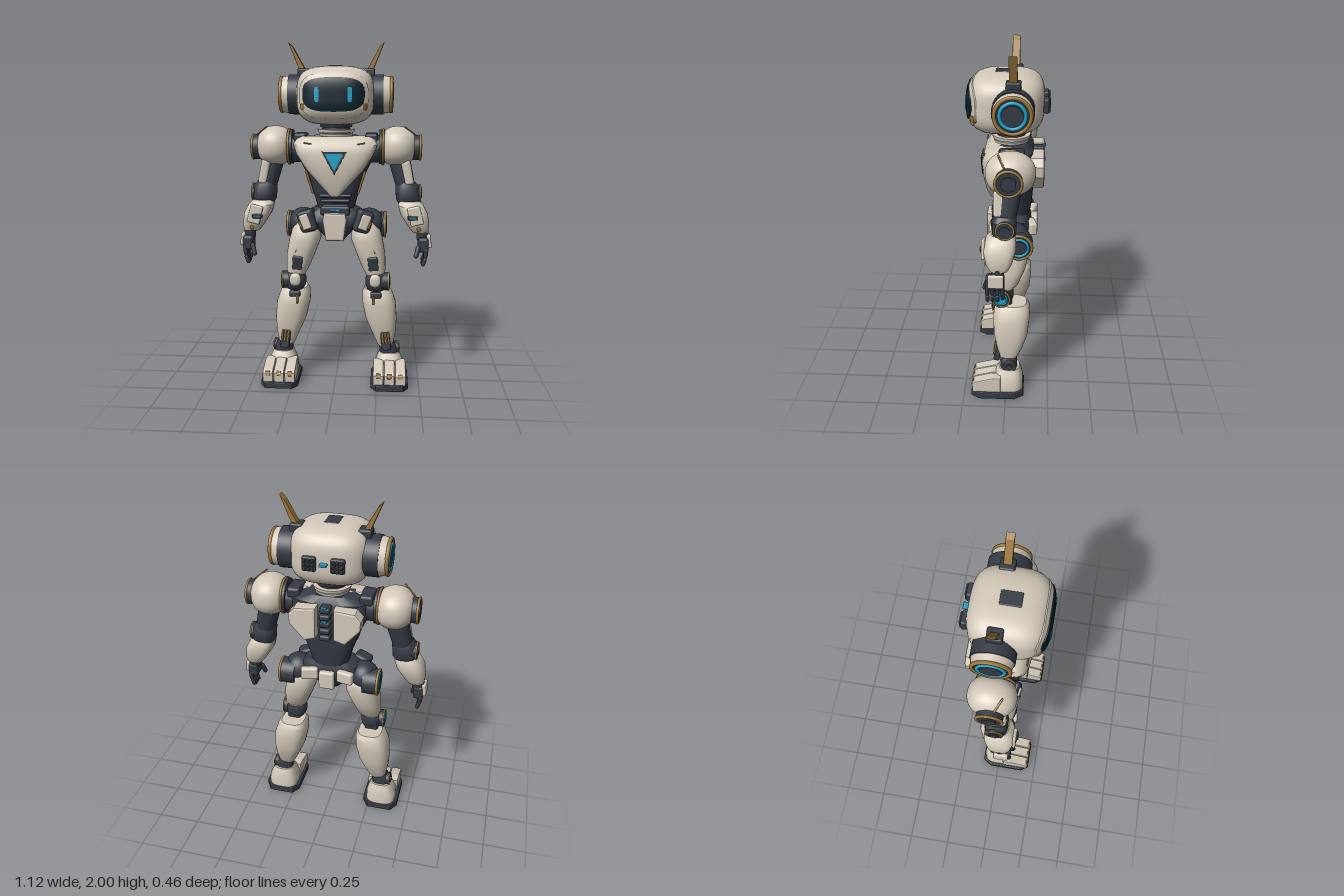
import * as THREE from 'three';
import { mergeVertices, toCreasedNormals } from 'three/addons/utils/BufferGeometryUtils.js';
import { RoundedBoxGeometry } from 'three/addons/geometries/RoundedBoxGeometry.js';

const paint = (name, color) => Object.assign(new THREE.MeshStandardMaterial({ color }), { name });
const cream = paint('cream shell', 0xd3c9b9), dark = paint('dark frame', 0x353b45);
const gold = paint('gold trim', 0x9c7638), blue = paint('blue light', 0x1fa3c8);
const glass = paint('visor glass', 0x0d222c);

// Adds a mesh with its placement baked in, so that sides can be mirrored
function add(parent, name, geo, mat, pos = [0, 0, 0], rot = [0, 0, 0]) {
  const q = new THREE.Quaternion().setFromEuler(new THREE.Euler(...rot));
  geo.applyMatrix4(new THREE.Matrix4().compose(new THREE.Vector3(...pos), q, new THREE.Vector3(1, 1, 1)));
  const mesh = new THREE.Mesh(geo, mat);
  mesh.name = name;
  parent.add(mesh);
  return mesh;
}
function mirrored(group, name) {
  const out = new THREE.Group();
  out.name = name;
  for (const m of group.children) {
    const g = m.geometry.index ? m.geometry.toNonIndexed() : m.geometry.clone();
    g.applyMatrix4(new THREE.Matrix4().makeScale(-1, 1, 1));
    g.setIndex([...Array(g.attributes.position.count).keys()].map(i => i % 3 === 0 ? i : i % 3 === 1 ? i + 1 : i - 1));
    add(out, m.name, g, m.material);
  }
  return out;
}
const box = (w, h, d, r = 0.01) => new RoundedBoxGeometry(w, h, d, 2, Math.min(r, w / 2.1, h / 2.1, d / 2.1));
const spow = (v, p) => Math.sign(v) * Math.abs(v) ** p;

// Vertical loft through super-ellipse sections [y, cx, cz, halfX, halfZ]
function loft(sections, n = 2.6, seg = 32) {
  const p = [], idx = [], last = sections.length - 1;
  for (const [y, cx, cz, hx, hz] of sections)
    for (let j = 0; j < seg; j++) {
      const a = j / seg * Math.PI * 2;
      p.push(cx + hx * spow(Math.cos(a), 2 / n), y, cz + hz * spow(Math.sin(a), 2 / n));
    }
  for (const s of [sections[0], sections[last]]) p.push(s[1], s[0], s[2]);
  const c = (last + 1) * seg;
  for (let j = 0; j < seg; j++) {
    const k = (j + 1) % seg;
    for (let i = 0; i < last; i++) {
      const a = i * seg + j, b = i * seg + k;
      idx.push(a, a + seg, b, b, a + seg, b + seg);
    }
    idx.push(c, j, k, c + 1, last * seg + k, last * seg + j);
  }
  const g = new THREE.BufferGeometry();
  g.setAttribute('position', new THREE.Float32BufferAttribute(p, 3));
  g.setIndex(idx);
  return toCreasedNormals(g, 0.6);
}
// Sphere pushed out to a rounded block
function superEllipsoid(hx, hy, hz, n) {
  let g = new THREE.SphereGeometry(1, 48, 32);
  g.deleteAttribute('normal'); g.deleteAttribute('uv');
  g = mergeVertices(g, 1e-4);
  const p = g.attributes.position, v = new THREE.Vector3();
  for (let i = 0; i < p.count; i++) {
    v.fromBufferAttribute(p, i);
    v.multiplyScalar((Math.abs(v.x) ** n + Math.abs(v.y) ** n + Math.abs(v.z) ** n) ** (-1 / n));
    p.setXYZ(i, v.x * hx, v.y * hy, v.z * hz);
  }
  g.computeVertexNormals();
  return g;
}
// Oval plate that follows the front of the head
const HEAD = { y: 1.704, z: 0.01, hx: 0.218, hy: 0.163, hz: 0.207, n: 3.3 };
function facePlate(cx, cy, hx, hy, off, n = 3) {
  const p = [], idx = [], R = 8, S = 48;
  for (let k = 0; k <= R + 1; k++)
    for (let j = 0; j < S; j++) {
      const a = j / S * Math.PI * 2, t = Math.min(k / R, 1);
      const x = cx + hx * t * spow(Math.cos(a), 2 / n), y = cy + hy * t * spow(Math.sin(a), 2 / n);
      const f = 1 - Math.abs(x / HEAD.hx) ** HEAD.n - Math.abs((y - HEAD.y) / HEAD.hy) ** HEAD.n;
      p.push(x, y, HEAD.z + HEAD.hz * Math.max(f, 0) ** (1 / HEAD.n) + (k > R ? -0.01 : off));
      if (k <= R) {
        const q = k * S + j, r = k * S + (j + 1) % S;
        if (k > 0) idx.push(q, r + S, r);
        idx.push(q, q + S, r + S);
      }
    }
  const g = new THREE.BufferGeometry();
  g.setAttribute('position', new THREE.Float32BufferAttribute(p, 3));
  g.setIndex(idx);
  return toCreasedNormals(g, 0.6);
}
const toShape = pts => new THREE.Shape(pts.map(q => new THREE.Vector2(...q)));
const slab = (pts, depth, bevel = 0.006) => new THREE.ExtrudeGeometry(toShape(pts),
  { depth, bevelEnabled: bevel > 0, bevelSize: bevel, bevelThickness: bevel, bevelOffset: -bevel, bevelSegments: 2 });
const rodX = (r, len, r2 = r) => new THREE.CylinderGeometry(r2, r, len, 32).rotateZ(-Math.PI / 2);
const ringX = (r, t) => new THREE.TorusGeometry(r, t, 8, 36).rotateY(Math.PI / 2);

// Round joint cover facing outwards: frame, gold rim, optional light ring, hub
function jointCover(g, name, x, y, z, r, depth, lit) {
  add(g, name + 'Drum', rodX(r, depth), dark, [x - depth / 2, y, z]);
  add(g, name + 'Rim', ringX(r * 0.95, r * 0.11), gold, [x - 0.004, y, z]);
  if (lit) add(g, name + 'Light', ringX(r * 0.68, r * 0.1), blue, [x, y, z]);
  add(g, name + 'Hub', rodX(r * 0.55, 0.012), lit === 'hub' ? blue : dark, [x, y, z]);
}

function buildHead(g) {
  add(g, 'headShell', superEllipsoid(HEAD.hx, HEAD.hy, HEAD.hz, HEAD.n), cream, [0, HEAD.y, HEAD.z]);
  add(g, 'faceFrame', facePlate(0, 1.705, 0.19, 0.125, 0.006), cream);
  add(g, 'visor', facePlate(0, 1.712, 0.17, 0.092, 0.012), glass);
  for (const s of [-1, 1]) {
    add(g, 'eye', facePlate(s * 0.09, 1.712, 0.012, 0.04, 0.016, 5), blue);
    add(g, 'cheekTrim', facePlate(s * 0.172, 1.645, 0.012, 0.018, 0.012), gold);
    add(g, 'rearVent', box(0.075, 0.08, 0.03), dark, [s * 0.077, 1.7, -0.205]);
    for (let i = 0; i < 9; i++)
      add(g, 'ventButton', box(0.017, 0.018, 0.012, 0.004), dark, [s * 0.077 + (i % 3 - 1) * 0.022, 1.7 + (Math.floor(i / 3) - 1) * 0.024, -0.222]);
  }
  add(g, 'rearLight', box(0.04, 0.014, 0.035, 0.004), blue, [0, 1.7, -0.21]);
  add(g, 'crownPanel', box(0.08, 0.014, 0.11, 0.006), dark, [0, 1.863, 0.015]);
  // Neck and collars
  add(g, 'neck', new THREE.CylinderGeometry(0.075, 0.09, 0.14, 32), dark, [0, 1.5, -0.015]);
  add(g, 'upperCollar', new THREE.CylinderGeometry(0.1, 0.09, 0.03, 32), dark, [0, 1.54, -0.015]);
  for (const [y, r] of [[1.505, 0.108], [1.48, 0.098]])
    add(g, 'neckRing', new THREE.CylinderGeometry(r, r - 0.004, 0.018, 40), cream, [0, y, -0.015]);
}

function buildTorso(g) {
  add(g, 'torsoFrame', loft([[1.03, 0, -0.035, 0.1, 0.085], [1.12, 0, -0.035, 0.125, 0.1], [1.25, 0, -0.03, 0.17, 0.115],
    [1.37, 0, -0.03, 0.225, 0.12], [1.44, 0, -0.03, 0.225, 0.11], [1.475, 0, -0.025, 0.13, 0.085]], 3), dark);
  add(g, 'chestPlate', loft([[1.135, 0, 0.08, 0.025, 0.025], [1.19, 0, 0.075, 0.075, 0.05], [1.29, 0, 0.068, 0.165, 0.072],
    [1.38, 0, 0.06, 0.222, 0.085], [1.43, 0, 0.05, 0.24, 0.082], [1.46, 0, 0.04, 0.225, 0.07], [1.475, 0, 0.03, 0.19, 0.055]], 3.5), cream);
  const tri = r => [[0, 1.35 - r * 1.2], [r, 1.35 + r * 0.65], [-r, 1.35 + r * 0.65]];
  add(g, 'emblemFrame', slab(tri(0.07), 0.03, 0.003), dark, [0, 0, 0.119]);
  add(g, 'emblemLight', slab(tri(0.052), 0.008, 0), blue, [0, 0, 0.147]);
  for (const s of [-1, 1]) {
    add(g, 'collarTrim', box(0.045, 0.008, 0.008, 0.003), gold, [s * 0.15, 1.44, 0.128], [0, 0, s * 0.15]);
    add(g, 'flankTrim', box(0.014, 0.14, 0.014, 0.005), gold, [s * 0.15, 1.21, 0.045], [0, 0, -s * 0.3]);
    const back = [[0.05, 1.44], [0.17, 1.43], [0.205, 1.39], [0.2, 1.33], [0.115, 1.235], [0.05, 1.255]];
    add(g, 'backPlate', slab(s > 0 ? back : back.map(([x, y]) => [-x, y]).reverse(), 0.06, 0.012), cream, [0, 0, -0.19]);
  }
  for (let i = 0; i < 5; i++) add(g, 'spineBlock', box(0.06, 0.032, 0.07), dark, [0, 1.26 + i * 0.042, -0.165]);
  for (const y of [1.365, 1.45]) add(g, 'spineLight', box(0.034, 0.014, 0.012, 0.004), blue, [0, y, -0.202]);
  // Waist ribs
  for (let i = 0; i < 3; i++) add(g, 'waistRib', box(0.15 + i * 0.02, 0.02, 0.12), dark, [0, 1.075 + i * 0.03, 0.02]);
  // Pelvis and skirt plates
  add(g, 'pelvis', loft([[0.865, 0, -0.015, 0.05, 0.05], [0.92, 0, -0.02, 0.1, 0.09], [0.98, 0, -0.025, 0.18, 0.11],
    [1.03, 0, -0.025, 0.17, 0.1], [1.06, 0, -0.03, 0.12, 0.085]], 3), dark);
  const apron = [[-0.052, 0.88], [0.052, 0.88], [0.07, 1], [0.062, 1.04], [-0.062, 1.04], [-0.07, 1]];
  add(g, 'beltBuckle', box(0.17, 0.055, 0.07, 0.014), dark, [0, 1.05, 0.06]);
  add(g, 'frontApron', slab(apron, 0.035, 0.01), cream, [0, 0, 0.08]);
  add(g, 'beltLight', box(0.06, 0.014, 0.012, 0.004), blue, [0, 1.056, 0.094]);
  add(g, 'rearApron', box(0.09, 0.11, 0.04, 0.012), cream, [0, 0.965, -0.15]);
  for (const s of [-1, 1]) add(g, 'rearSkirt', box(0.1, 0.075, 0.045, 0.014), cream, [s * 0.105, 0.99, -0.138], [0, s * 0.25, 0]);
}

function buildSide() {
  const g = new THREE.Group();
  g.name = 'leftSide';
  // Ear pod and antenna
  const ey = 1.708, ez = -0.033;
  add(g, 'earMount', rodX(0.113, 0.08), dark, [0.23, ey, ez]);
  add(g, 'earShell', rodX(0.108, 0.042, 0.1), cream, [0.289, ey, ez]);
  jointCover(g, 'ear', 0.318, ey, ez, 0.1, 0.03, true);
  add(g, 'antennaBase', box(0.07, 0.085, 0.08), dark, [0.185, 1.812, ez]);
  add(g, 'antenna', slab([[0.166, 1.83], [0.205, 1.83], [0.273, 2.0], [0.247, 1.975]], 0.036, 0.004), gold, [0, 0, -0.051]);
  // Shoulder
  add(g, 'shoulderMount', rodX(0.08, 0.12), dark, [0.24, 1.4, -0.02]);
  add(g, 'shoulderYoke', box(0.075, 0.06, 0.14, 0.015), dark, [0.205, 1.46, -0.025]);
  add(g, 'shoulderCollar', rodX(0.1, 0.03), dark, [0.265, 1.41, -0.02]);
  add(g, 'shoulderTrim', ringX(0.1, 0.007), gold, [0.272, 1.41, -0.02]);
  add(g, 'shoulderShell', superEllipsoid(0.11, 0.115, 0.132, 2.2), cream, [0.355, 1.415, -0.025]);
  jointCover(g, 'shoulder', 0.488, 1.408, -0.02, 0.072, 0.09, false);
  add(g, 'shoulderStripe', box(0.09, 0.006, 0.01, 0.002), gold, [0.425, 1.505, 0.02], [0, 0.5, -0.6]);
  // Upper arm and elbow
  add(g, 'upperArm', loft([[1.13, 0.415, 0, 0.05, 0.05], [1.22, 0.395, -0.005, 0.058, 0.06], [1.36, 0.36, -0.02, 0.065, 0.07]]), dark);
  add(g, 'upperArmPlate', box(0.055, 0.15, 0.085, 0.02), cream, [0.412, 1.27, 0.02], [0, 0, 0.2]);
  add(g, 'elbow', loft([[1.085, 0.42, 0.005, 0.055, 0.05], [1.11, 0.42, 0.005, 0.07, 0.065], [1.18, 0.415, 0.005, 0.07, 0.065],
    [1.21, 0.41, 0.005, 0.05, 0.05]]), dark);
  jointCover(g, 'elbow', 0.492, 1.145, 0, 0.05, 0.03, false);
  // Forearm
  add(g, 'forearm', loft([[0.925, 0.492, 0.03, 0.045, 0.05], [0.96, 0.482, 0.03, 0.062, 0.07], [1.03, 0.455, 0.028, 0.08, 0.088],
    [1.08, 0.435, 0.022, 0.074, 0.08], [1.105, 0.425, 0.015, 0.055, 0.06]], 3), cream);
  add(g, 'forearmPlate', box(0.075, 0.11, 0.02), cream, [0.46, 1.03, 0.113], [0, 0, 0.25]);
  add(g, 'forearmSlot', box(0.06, 0.024, 0.014, 0.005), dark, [0.445, 1.02, 0.122]);
  add(g, 'forearmLight', box(0.042, 0.012, 0.014, 0.004), blue, [0.445, 1.02, 0.127]);
  add(g, 'forearmTrim', box(0.022, 0.022, 0.014, 0.005), gold, [0.482, 0.95, 0.1], [0, 0, 0.5]);
  // Hand
  add(g, 'wrist', new THREE.CylinderGeometry(0.036, 0.032, 0.06, 24), dark, [0.505, 0.91, 0.035]);
  add(g, 'palm', box(0.06, 0.085, 0.1, 0.016), dark, [0.51, 0.855, 0.05]);
  add(g, 'handPlate', box(0.024, 0.075, 0.085), cream, [0.543, 0.875, 0.045], [0, 0, 0.1]);
  for (let i = 0; i < 4; i++) {
    const z = 0.01 + i * 0.027, tip = i === 0 ? 0.012 : 0;
    add(g, 'fingerBase', new THREE.CapsuleGeometry(0.0125, 0.035, 4, 10), dark, [0.525, 0.81, z], [0, 0, -0.1]);
    add(g, 'fingerTip', new THREE.CapsuleGeometry(0.0115, 0.03, 4, 10), dark, [0.515, 0.757 + tip, z], [0, 0, -0.35]);
  }
  add(g, 'thumb', new THREE.CapsuleGeometry(0.014, 0.05, 4, 10), dark, [0.475, 0.82, 0.1], [-0.3, 0, -0.25]);
  // Hip
  add(g, 'hipBall', new THREE.SphereGeometry(0.088, 28, 20), dark, [0.195, 0.96, -0.04]);
  jointCover(g, 'hip', 0.292, 0.945, -0.07, 0.075, 0.09, true);
  add(g, 'hipPod', box(0.1, 0.13, 0.09, 0.02), dark, [0.16, 0.985, 0.05], [0, 0.2, -0.3]);
  add(g, 'hipPlate', box(0.055, 0.09, 0.02), cream, [0.172, 0.985, 0.095], [0, 0.2, -0.35]);
  add(g, 'hipTrim', box(0.014, 0.045, 0.012, 0.004), gold, [0.2, 0.97, 0.098], [0, 0.2, -0.5]);
  // Thigh
  add(g, 'thigh', loft([[0.645, 0.237, 0.02, 0.045, 0.045], [0.69, 0.228, 0.005, 0.066, 0.072], [0.78, 0.208, -0.01, 0.084, 0.096],
    [0.87, 0.183, -0.015, 0.093, 0.112], [0.93, 0.175, -0.02, 0.084, 0.105], [0.975, 0.175, -0.02, 0.06, 0.075]]), cream);
  add(g, 'thighInset', box(0.06, 0.09, 0.022, 0.012), dark, [0.222, 0.735, 0.074], [0.15, 0, 0.1]);
  add(g, 'thighTrim', box(0.012, 0.045, 0.01, 0.004), gold, [0.222, 0.82, 0.084], [0.1, 0, 0.4]);
  // Knee
  add(g, 'knee', superEllipsoid(0.064, 0.066, 0.064, 2.3), dark, [0.24, 0.62, 0.025]);
  add(g, 'kneeCap', superEllipsoid(0.032, 0.038, 0.02, 2.5), cream, [0.235, 0.635, 0.08]);
  jointCover(g, 'knee', 0.318, 0.622, 0.03, 0.052, 0.06, 'hub');
  add(g, 'kneeLink', box(0.08, 0.08, 0.08, 0.015), dark, [0.245, 0.565, 0.01]);
  // Shin
  add(g, 'shin', loft([[0.215, 0.3, -0.012, 0.046, 0.045], [0.29, 0.29, -0.02, 0.07, 0.075], [0.38, 0.273, -0.025, 0.093, 0.1],
    [0.48, 0.258, -0.028, 0.1, 0.107], [0.545, 0.247, -0.03, 0.088, 0.102], [0.57, 0.244, -0.03, 0.07, 0.085]], 2.8), cream);
  add(g, 'shinTopGuard', box(0.065, 0.035, 0.03), dark, [0.24, 0.545, 0.068]);
  add(g, 'shinTopTrim', box(0.014, 0.05, 0.012, 0.004), gold, [0.225, 0.515, 0.084]);
  add(g, 'anklePiston', box(0.055, 0.13, 0.035), dark, [0.3, 0.265, 0.05], [-0.15, 0, 0.12]);
  for (let i = 0; i < 3; i++) add(g, 'pistonTrim', box(0.012, 0.07, 0.012, 0.004), gold, [0.283 + i * 0.018, 0.28, 0.068], [-0.15, 0, 0.12]);
  // Ankle
  add(g, 'ankle', loft([[0.14, 0.322, -0.015, 0.055, 0.05], [0.205, 0.318, -0.015, 0.055, 0.05], [0.235, 0.308, -0.012, 0.045, 0.045]]), dark);
  jointCover(g, 'ankle', 0.38, 0.193, -0.02, 0.038, 0.03, false);
  // Foot
  const sole = [[0.25, -0.105], [0.4, -0.105], [0.435, -0.05], [0.435, 0.16], [0.405, 0.205], [0.245, 0.205], [0.215, 0.16], [0.215, -0.05]];
  add(g, 'sole', slab(sole.map(([x, z]) => [x, -z]).reverse(), 0.028, 0.006), dark, [0, 0.006, 0], [-Math.PI / 2, 0, 0]);
  add(g, 'heelShell', loft([[0.038, 0.325, -0.01, 0.092, 0.09], [0.1, 0.325, -0.01, 0.09, 0.088], [0.14, 0.323, -0.015, 0.072, 0.075],
    [0.172, 0.322, -0.018, 0.058, 0.06]], 3), cream);
  for (let i = 0; i < 3; i++) {
    const x = 0.26 + i * 0.065;
    const toe = [[0.03, 0.038], [0.197, 0.038], [0.2, 0.095], [0.185, 0.11], [0.08, 0.138], [0.03, 0.138]];
    add(g, 'toe', slab(toe, 0.049, 0.006), cream, [x + 0.0245, 0, 0], [0, -Math.PI / 2, 0]);
    add(g, 'toeTrim', box(0.026, 0.03, 0.012, 0.004), gold, [x, 0.092, 0.194], [-0.3, 0, 0]);
  }
  return g;
}

export function createModel() {
  const model = new THREE.Group();
  model.name = 'robot';
  const head = new THREE.Group(), torso = new THREE.Group();
  head.name = 'head';
  torso.name = 'torso';
  buildHead(head);
  buildTorso(torso);
  const left = buildSide();
  model.add(head, torso, left, mirrored(left, 'rightSide'));
  return model;
}
